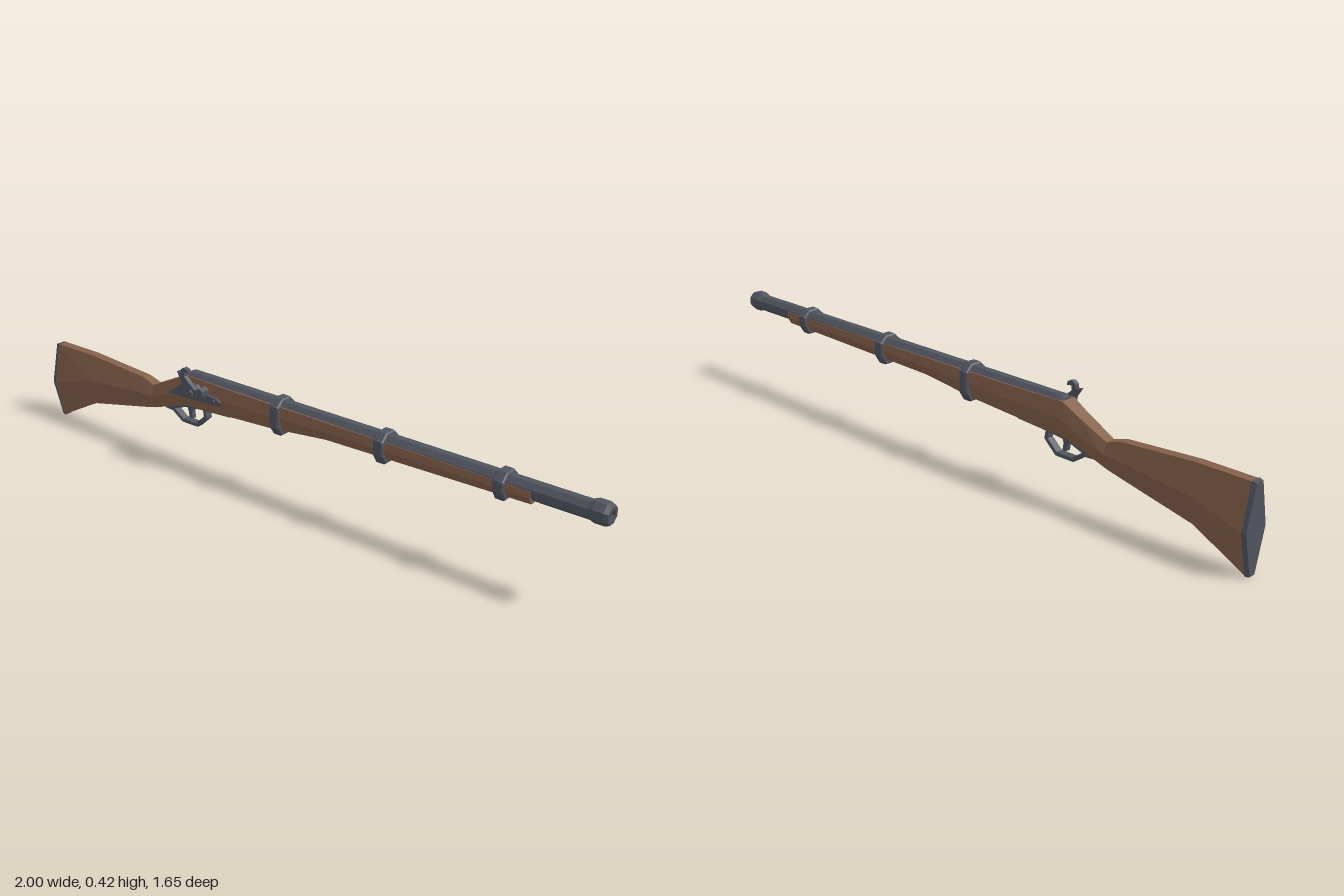
import * as THREE from 'three';

const wood = new THREE.MeshStandardMaterial({ color: 0x84604a, flatShading: true });
const metal = new THREE.MeshStandardMaterial({ color: 0x50545e, flatShading: true });

function mesh(name, geometry, material) {
  const m = new THREE.Mesh(geometry, material);
  m.name = name;
  return m;
}

// Lofts hexagonal sections along x.
// Section: [x, topY, topHalfWidth, midY, midHalfWidth, bottomY, bottomHalfWidth]
function loft(sections) {
  const pos = [], index = [];
  for (const [x, ty, tw, my, mw, by, bw] of sections) {
    for (const [y, z] of [[ty, tw], [my, mw], [by, bw], [by, -bw], [my, -mw], [ty, -tw]]) pos.push(x, y, z);
  }
  const last = (sections.length - 1) * 6;
  for (let s = 0; s < last; s += 6) {
    for (let i = 0; i < 6; i++) {
      const a = s + i, b = s + (i + 1) % 6;
      index.push(a, b, b + 6, a, b + 6, a + 6);
    }
  }
  for (let i = 1; i < 5; i++) index.push(0, i + 1, i, last, last + i, last + i + 1);
  const g = new THREE.BufferGeometry();
  g.setAttribute('position', new THREE.Float32BufferAttribute(pos, 3));
  g.setIndex(index);
  const flat = g.toNonIndexed();
  flat.computeVertexNormals();
  return flat;
}

// Extrudes a side outline (x, y) between two z values.
function plate(points, z0, z1, bevel = 0) {
  const shape = new THREE.Shape(points.map(p => new THREE.Vector2(...p)));
  return new THREE.ExtrudeGeometry(shape, {
    depth: z1 - z0 - 2 * bevel, bevelEnabled: bevel > 0, bevelSize: bevel,
    bevelThickness: bevel, bevelOffset: -bevel, bevelSegments: 1,
  }).translate(0, 0, z0 + bevel);
}

// Turned octagonal part along x; profile of [radius, x]
function turned(profile, y) {
  const g = new THREE.LatheGeometry(profile.map(p => new THREE.Vector2(...p)), 8);
  return g.rotateY(Math.PI / 8).rotateZ(-Math.PI / 2).translate(0, y, 0);
}

export function createModel() {
  const root = new THREE.Group();
  root.name = 'musket';
  const gun = new THREE.Group();
  gun.name = 'musketBody';
  gun.rotation.y = -0.685;
  root.add(gun);

  // Wooden stock from butt to fore-end
  gun.add(mesh('stock', loft([
    [-1.235, 0.318, 0.018, 0.16, 0.052, 0.002, 0.014],
    [-1.03, 0.318, 0.018, 0.215, 0.046, 0.108, 0.016],
    [-0.735, 0.298, 0.018, 0.238, 0.036, 0.172, 0.016],
    [-0.68, 0.28, 0.02, 0.238, 0.034, 0.185, 0.016],
    [-0.56, 0.338, 0.026, 0.283, 0.039, 0.225, 0.018],
    [-0.495, 0.374, 0.03, 0.315, 0.042, 0.244, 0.02],
    [-0.3, 0.372, 0.035, 0.32, 0.043, 0.256, 0.022],
    [-0.07, 0.371, 0.036, 0.325, 0.042, 0.27, 0.022],
    [0.18, 0.37, 0.036, 0.335, 0.041, 0.298, 0.022],
    [0.998, 0.364, 0.033, 0.342, 0.036, 0.315, 0.02],
  ]), wood));

  // Butt plate
  gun.add(mesh('buttPlate', loft([
    [-1.248, 0.316, 0.017, 0.16, 0.051, 0.004, 0.013],
    [-1.232, 0.32, 0.02, 0.16, 0.054, 0, 0.016],
  ]), metal));

  // Barrel and flared muzzle
  gun.add(mesh('barrel', turned([[0, -0.49], [0.028, -0.49], [0.034, -0.475], [0.033, 1.24], [0, 1.24]], 0.356), metal));
  gun.add(mesh('muzzleRing', turned([
    [0.031, 1.19], [0.04, 1.21], [0.04, 1.248], [0.033, 1.263], [0.019, 1.263], [0.017, 1.22], [0, 1.22],
  ], 0.358), metal));

  // Barrel bands: position along the gun and lowest point
  for (const [x, bottom] of [[-0.04, 0.256], [0.42, 0.283], [0.888, 0.298]]) {
    const outline = [[0.022, 0.396], [0.049, 0.37], [0.049, bottom + 0.035], [0.027, bottom]];
    const ring = [...outline, ...outline.map(([z, y]) => [-z, y]).reverse()];
    const g = plate(ring, -0.021, 0.021, 0.005).rotateY(Math.PI / 2).translate(x, 0, 0);
    gun.add(mesh('barrelBand', g, metal));
  }

  // Firing lock on the right side
  const lock = new THREE.Group();
  lock.name = 'lock';
  gun.add(lock);
  lock.add(mesh('lockPlate', plate([
    [-0.575, 0.288], [-0.42, 0.292], [-0.31, 0.3], [-0.298, 0.315], [-0.32, 0.328],
    [-0.4, 0.334], [-0.42, 0.355], [-0.49, 0.35], [-0.53, 0.318],
  ], 0.03, 0.051, 0.003), metal));
  lock.add(mesh('hammer', plate([
    [-0.44, 0.305], [-0.405, 0.315], [-0.405, 0.34], [-0.44, 0.365], [-0.463, 0.385], [-0.462, 0.402],
    [-0.442, 0.4], [-0.445, 0.414], [-0.465, 0.42], [-0.48, 0.41], [-0.481, 0.395], [-0.5, 0.398],
    [-0.478, 0.365], [-0.468, 0.325],
  ], 0.05, 0.068), metal));
  for (const [x, y, r, end] of [[-0.43, 0.327, 0.014, 0.077], [-0.385, 0.338, 0.02, 0.072], [-0.33, 0.314, 0.008, 0.056]]) {
    const g = new THREE.CylinderGeometry(r, r, end - 0.03, 6).rotateX(Math.PI / 2).translate(x, y, (end + 0.03) / 2);
    lock.add(mesh('lockBolt', g, metal));
  }

  // Trigger guard: strap following a six-sided bow
  const outer = [[-0.625, 0.2], [-0.585, 0.198], [-0.535, 0.164], [-0.455, 0.164], [-0.402, 0.212], [-0.41, 0.255]];
  const inner = [[-0.425, 0.255], [-0.419, 0.217], [-0.461, 0.179], [-0.529, 0.179], [-0.57, 0.208], [-0.6, 0.222]];
  gun.add(mesh('triggerGuard', plate([...outer, ...inner], -0.015, 0.015, 0.002), metal));

  // Trigger plate and trigger
  gun.add(mesh('triggerPlate', plate([
    [-0.6, 0.201], [-0.51, 0.233], [-0.43, 0.243], [-0.28, 0.252], [-0.28, 0.265], [-0.49, 0.26], [-0.6, 0.222],
  ], -0.017, 0.017), metal));
  gun.add(mesh('trigger', plate([
    [-0.515, 0.245], [-0.503, 0.215], [-0.5, 0.192], [-0.482, 0.19], [-0.486, 0.218], [-0.475, 0.25],
  ], -0.009, 0.009), metal));

  return root;
}
